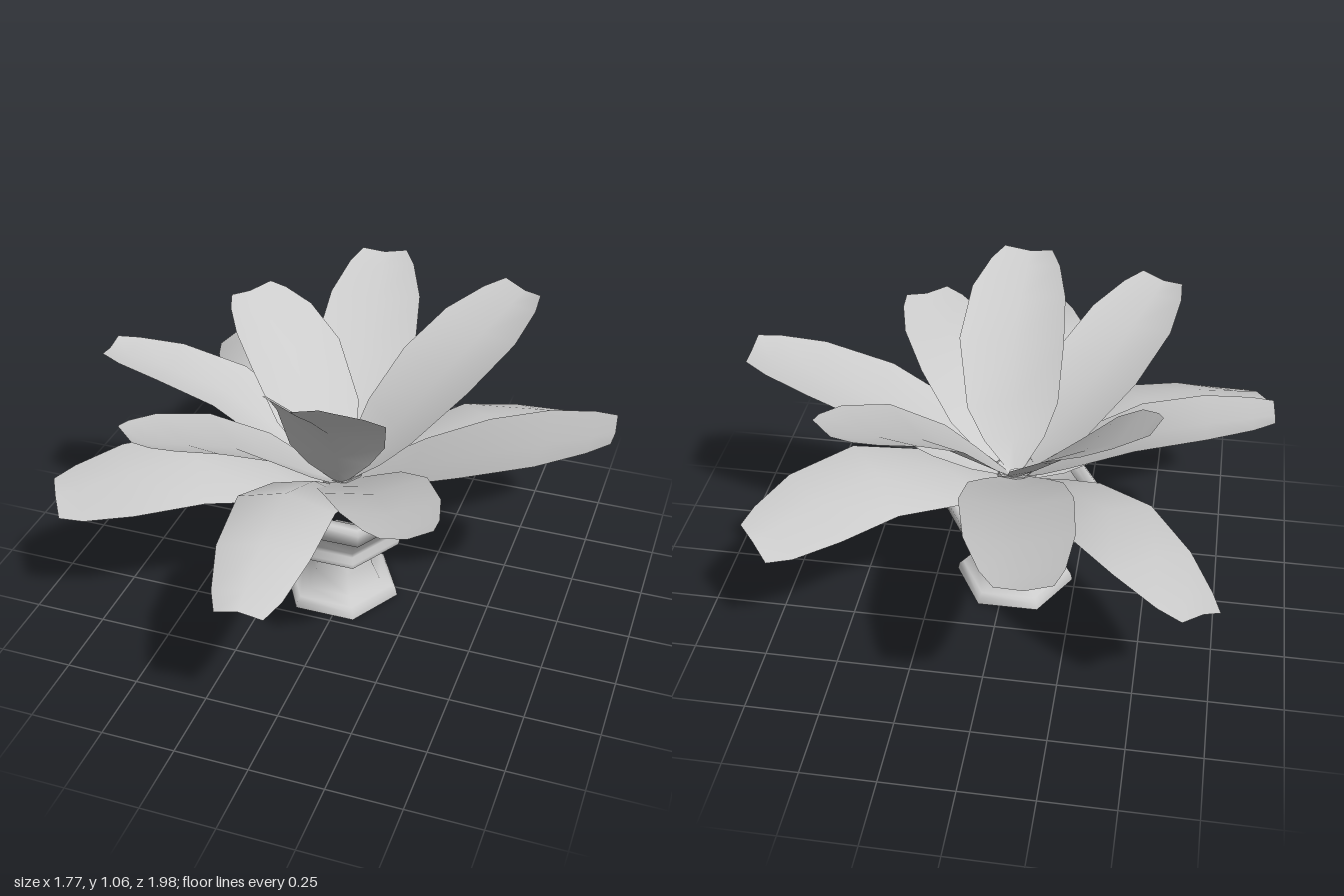
import * as THREE from 'three';

const CX = -0.03, CZ = 0.04; // axis of the urn
const grey = new THREE.MeshStandardMaterial({ color: 0xcccccc, side: THREE.DoubleSide });
grey.name = 'pale grey';

// Six-sided turned part with corners on the x axis
function turned(name, profile) {
  const pts = profile.map(([r, y]) => new THREE.Vector2(r, y));
  const mesh = new THREE.Mesh(new THREE.LatheGeometry(pts, 6, Math.PI / 2), grey);
  mesh.name = name;
  mesh.position.set(CX, 0, CZ);
  return mesh;
}

// Leaf: cross-sections swept along root -> mid -> tip, cupped or arched, and rolled about its length
const STATIONS = [[0, 0.15], [0.12, 0.58], [0.25, 0.87], [0.5, 1], [0.75, 0.92], [0.92, 0.68], [1, 0.47]];
function leaf(name, mid, tip, halfWidth, cup, rootY = 0.46, roll = 0) {
  const m = new THREE.Vector3(...mid), t = new THREE.Vector3(...tip);
  const out = new THREE.Vector3(m.x - CX, 0, m.z - CZ).normalize();
  const root = new THREE.Vector3(CX, rootY, CZ).addScaledVector(out, 0.02);
  const curve = new THREE.CatmullRomCurve3([root, m, t]);
  const pos = [], idx = [];
  STATIONS.forEach(([u, w], i) => {
    const c = curve.getPoint(u), d = curve.getTangent(u);
    const side = new THREE.Vector3(d.z, 0, -d.x).normalize().applyAxisAngle(d, roll * u);
    const up = new THREE.Vector3().crossVectors(d, side).normalize();
    for (let j = -1; j <= 1; j++) {
      const p = c.clone().addScaledVector(side, j * w * halfWidth)
        .addScaledVector(up, (Math.abs(j) - 0.5) * cup * w);
      pos.push(p.x, p.y, p.z);
    }
    if (i === 0) return;
    // wound so the upper side is the front
    for (let j = 0; j < 2; j++) {
      const a = (i - 1) * 3 + j, b = a + 3;
      idx.push(a, a + 1, b, a + 1, b + 1, b);
    }
  });
  const g = new THREE.BufferGeometry();
  g.setAttribute('position', new THREE.Float32BufferAttribute(pos, 3));
  g.setIndex(idx);
  g.computeVertexNormals();
  const mesh = new THREE.Mesh(g, grey);
  mesh.name = name;
  return mesh;
}

export function createModel() {
  const model = new THREE.Group();
  model.name = 'pottedPlant';

  // Urn: open flared foot, open bowl with rim, and the short stem of the plant
  model.add(turned('foot', [[0.21, 0], [0.205, 0.025], [0.19, 0.04],
    [0.145, 0.055], [0.115, 0.12], [0.1, 0.19], [0.09, 0.218]]));
  model.add(turned('bowl', [[0.21, 0.225], [0.215, 0.245], [0.2, 0.265], [0.205, 0.285],
    [0.255, 0.37], [0.293, 0.378], [0.3, 0.425], [0.285, 0.44], [0.25, 0.44], [0.24, 0.41]]));
  model.add(turned('stem', [[0.07, 0.42], [0.075, 0.49]]));

  // Leaves: name, midpoint, tip, half width, cup (edges raised when positive), root height, roll
  const leaves = [
    ['leftLeaf', [0.45, 0.70, 0.09], [0.88, 0.855, 0.07], 0.185, 0.03],
    ['backLeftLowLeaf', [0.39, 0.61, -0.25], [0.73, 0.525, -0.54], 0.18, -0.03, 0.44, -0.3],
    ['backLeftHighLeaf', [0.23, 0.78, -0.22], [0.44, 0.98, -0.54], 0.185, 0.04],
    ['backLeaf', [-0.1, 0.70, -0.43], [-0.2, 0.83, -0.97], 0.18, 0.03],
    ['backRightLowLeaf', [-0.38, 0.61, -0.33], [-0.70, 0.535, -0.68], 0.18, -0.03, 0.44, -0.3],
    ['backRightHighLeaf', [-0.28, 0.77, -0.19], [-0.49, 0.93, -0.32], 0.18, 0.04],
    ['rightLeaf', [-0.45, 0.71, 0.0], [-0.88, 0.81, 0.02], 0.14, 0.03],
    ['frontRightLowLeaf', [-0.43, 0.61, 0.32], [-0.84, 0.535, 0.55], 0.18, -0.03, 0.44, -0.3],
    ['frontRightHighLeaf', [-0.28, 0.73, 0.33], [-0.47, 0.91, 0.67], 0.175, 0.04],
    ['frontLowLeaf', [-0.04, 0.69, 0.52], [-0.01, 0.61, 0.99], 0.16, -0.04, 0.44],
    ['frontHighLeaf', [0.02, 0.83, 0.29], [0.0, 1.05, 0.56], 0.18, 0.05],
    ['frontLeftLeaf', [0.20, 0.68, 0.37], [0.40, 0.77, 0.69], 0.17, 0.03],
  ];
  for (const l of leaves) model.add(leaf(...l));
  return model;
}
